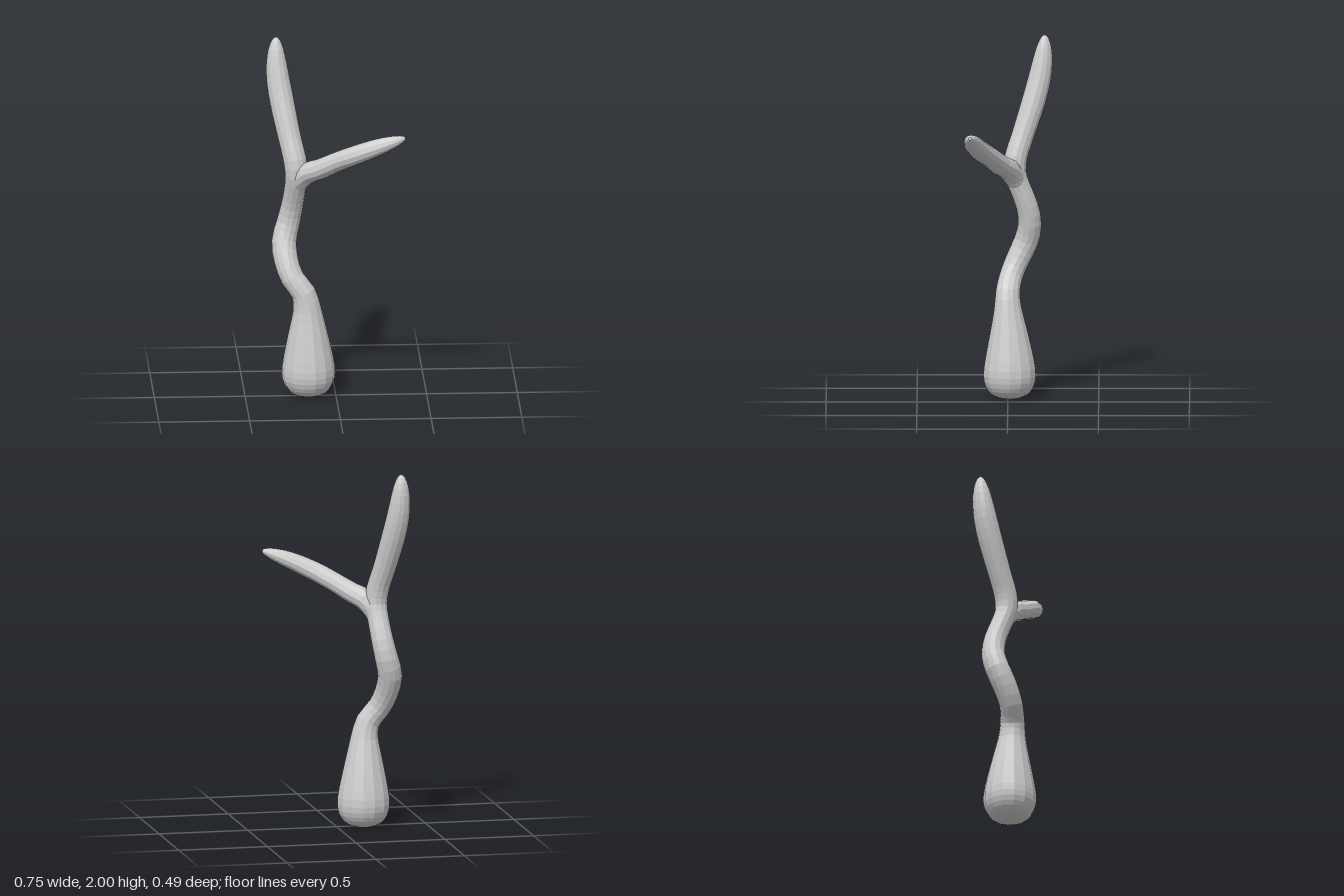
import * as THREE from 'three';

// Tube of varying radius: each point is [x, y, z, radius]; both ends are closed.
function limb(name, points, ref, sides, steps, squash, material) {
  const path = new THREE.CatmullRomCurve3(
    points.map(p => new THREE.Vector3(p[0], p[1], p[2])), false, 'catmullrom', 0.5);
  const widths = new THREE.CatmullRomCurve3(
    points.map(p => new THREE.Vector3(p[3], 0, 0)), false, 'catmullrom', 0.5);
  const rings = (points.length - 1) * steps;
  const pos = [], index = [];
  for (let i = 0; i <= rings; i++) {
    const t = i / rings;
    const c = path.getPoint(t);
    const r = Math.max(widths.getPoint(t).x, 0.004);
    const dir = path.getTangent(t);
    const side = new THREE.Vector3().crossVectors(dir, ref).normalize();
    const up = new THREE.Vector3().crossVectors(dir, side);
    for (let j = 0; j < sides; j++) {
      const a = j / sides * Math.PI * 2;
      const v = c.clone()
        .addScaledVector(side, Math.cos(a) * r)
        .addScaledVector(up, Math.sin(a) * r * squash);
      pos.push(v.x, v.y, v.z);
    }
  }
  for (let i = 0; i < rings; i++) {
    for (let j = 0; j < sides; j++) {
      const a = i * sides + j, b = i * sides + (j + 1) % sides;
      index.push(a, b, a + sides, b, b + sides, a + sides);
    }
  }
  // End caps
  const last = rings * sides;
  for (let j = 1; j < sides - 1; j++) {
    index.push(0, j + 1, j);
    index.push(last, last + j, last + j + 1);
  }
  const geo = new THREE.BufferGeometry();
  geo.setAttribute('position', new THREE.Float32BufferAttribute(pos, 3));
  geo.setIndex(index);
  geo.computeVertexNormals();
  const mesh = new THREE.Mesh(geo, material);
  mesh.name = name;
  return mesh;
}

export function createModel() {
  const group = new THREE.Group();
  group.name = 'forkedStem';
  const grey = new THREE.MeshStandardMaterial({ color: 0xcccccc, flatShading: true });
  grey.name = 'lightGrey';

  // Bulbous foot, winding stem and the tall prong in one sweep
  const stem = [
    [-0.15, 0.005, -0.01, 0.05], [-0.15, 0.02, -0.01, 0.09], [-0.15, 0.05, -0.01, 0.122],
    [-0.15, 0.1, -0.01, 0.144], [-0.15, 0.17, -0.01, 0.146], [-0.152, 0.28, -0.008, 0.126],
    [-0.154, 0.39, -0.005, 0.102], [-0.158, 0.5, 0, 0.078], [-0.178, 0.59, 0, 0.068],
    [-0.237, 0.67, -0.018, 0.065], [-0.27, 0.76, -0.055, 0.067], [-0.28, 0.86, -0.1, 0.069],
    [-0.256, 0.96, -0.121, 0.066], [-0.235, 1.06, -0.107, 0.062], [-0.222, 1.16, -0.07, 0.06],
    [-0.214, 1.25, -0.04, 0.063], [-0.223, 1.34, -0.046, 0.064], [-0.244, 1.43, -0.075, 0.063],
    [-0.266, 1.53, -0.108, 0.065], [-0.288, 1.64, -0.143, 0.067], [-0.307, 1.75, -0.172, 0.065],
    [-0.317, 1.85, -0.19, 0.057], [-0.32, 1.93, -0.199, 0.043], [-0.32, 1.98, -0.202, 0.024],
    [-0.32, 2.0, -0.202, 0.006],
  ];
  group.add(limb('stem', stem, new THREE.Vector3(0, 0, 1), 14, 2, 1, grey));

  // Side prong, growing out of the stem just below the fork
  const prong = [
    [-0.222, 1.14, -0.07, 0.04], [-0.198, 1.22, -0.037, 0.06], [-0.155, 1.275, -0.005, 0.066],
    [-0.09, 1.309, 0.04, 0.063], [-0.01, 1.358, 0.088, 0.06], [0.07, 1.402, 0.135, 0.06],
    [0.15, 1.44, 0.168, 0.058], [0.23, 1.475, 0.19, 0.052], [0.3, 1.502, 0.202, 0.04],
    [0.35, 1.52, 0.206, 0.024], [0.373, 1.527, 0.207, 0.009],
  ];
  group.add(limb('sideProng', prong, new THREE.Vector3(0, 1, 0), 12, 2, 0.9, grey));

  return group;
}
